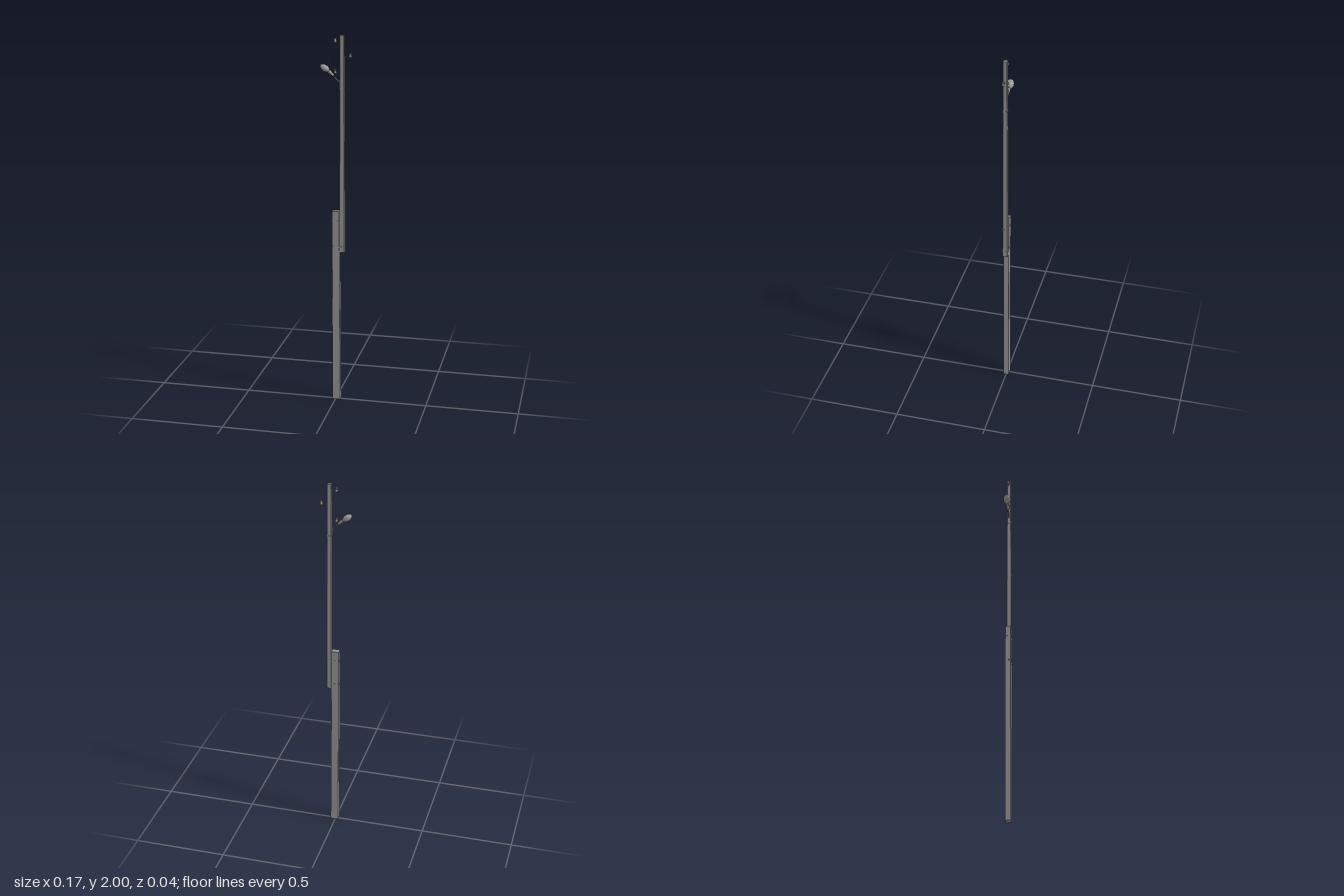
import * as THREE from 'three';

const mat = new THREE.MeshStandardMaterial({ color: 0x929292, flatShading: true, side: THREE.DoubleSide });
const smooth = new THREE.MeshStandardMaterial({ color: 0x929292 });
const V = (x, y, z = 0) => new THREE.Vector3(x, y, z);

function add(parent, name, geo, material = mat) {
  const mesh = new THREE.Mesh(geo, material);
  mesh.name = name;
  parent.add(mesh);
  return mesh;
}

// Rectangle with cut corners, of half sizes a and b
function cutRect(a, b, c) {
  return new THREE.Shape([[a - c, -b], [a, c - b], [a, b - c], [a - c, b], [c - a, b], [-a, b - c], [-a, c - b], [c - a, -b]]
    .map(([x, y]) => new THREE.Vector2(x, y)));
}

// Upright beam whose section changes linearly from bottom to top: [y, left, right, half depth]
function beam([y0, l0, r0, d0], [y1, l1, r1, d1], cut) {
  const geo = new THREE.ExtrudeGeometry(cutRect(1, 1, cut), { depth: 1, bevelEnabled: false });
  geo.rotateX(-Math.PI / 2);
  const p = geo.attributes.position, mix = THREE.MathUtils.lerp;
  for (let i = 0; i < p.count; i++) {
    const t = p.getY(i), l = mix(l0, l1, t), r = mix(r0, r1, t);
    p.setXYZ(i, (l + r) / 2 + p.getX(i) * (r - l) / 2, mix(y0, y1, t), p.getZ(i) * mix(d0, d1, t));
  }
  geo.computeVertexNormals();
  return geo;
}

// Hollow rectangular strap
function strap(left, right, halfDepth, height) {
  const a = (right - left) / 2;
  const shape = cutRect(a, halfDepth, 0.002);
  shape.holes.push(cutRect(a - 0.002, halfDepth - 0.002, 0.001));
  const geo = new THREE.ExtrudeGeometry(shape, { depth: height, bevelEnabled: false });
  return geo.rotateX(-Math.PI / 2).translate((left + right) / 2, -height / 2, 0);
}

function tube(points, radius, segments = 20) {
  return new THREE.TubeGeometry(new THREE.CatmullRomCurve3(points), segments, radius, 6);
}

// Bent hook carrying a bell-shaped insulator
function insulator(name, poleX, x, y) {
  const g = new THREE.Group();
  g.name = name;
  const s = Math.sign(x - poleX);
  add(g, 'hook', tube([V(poleX, y - 0.008), V(x - s * 0.014, y - 0.009), V(x - s * 0.008, y - 0.014), V(x - s * 0.002, y - 0.014), V(x, y - 0.006), V(x, y + 0.004)], 0.0014), smooth);
  const profile = [[0, -0.01], [0.0075, -0.011], [0.008, -0.004], [0.0065, 0], [0.0058, 0.003], [0.007, 0.005], [0.006, 0.01], [0, 0.012]];
  const bell = add(g, 'bell', new THREE.LatheGeometry(profile.map(([r, h]) => new THREE.Vector2(r, h)), 14));
  bell.position.set(x, y + 0.001, 0);
  return g;
}

export function createModel() {
  const model = new THREE.Group();
  model.name = 'utilityPole';

  // Slightly leaning footing post and the tapered pole lashed to it
  add(model, 'footingPost', beam([0, -0.017, 0.0265, 0.015], [1.07, -0.0195, 0.0205, 0.0155], 0.06));
  add(model, 'upperPole', beam([0.845, 0.02, 0.049, 0.014], [2, 0.021, 0.043, 0.0105], 0.16));

  // Lashing straps
  for (const y of [0.875, 1.015]) {
    add(model, 'lashingStrap', strap(-0.0205, 0.0495, 0.0165, 0.006)).position.y = y;
  }

  // Lamp: clamp, bracket, tapered socket and oval head
  const lamp = new THREE.Group();
  lamp.name = 'streetLamp';
  model.add(lamp);
  add(lamp, 'clamp', strap(0.019, 0.046, 0.0135, 0.005)).position.y = 1.725;
  add(lamp, 'bracketPlate', new THREE.BoxGeometry(0.004, 0.05, 0.008)).position.set(0.019, 1.745, 0);
  add(lamp, 'arm', tube([V(0.02, 1.755), V(0, 1.775), V(-0.025, 1.8)], 0.0036), smooth);
  const socket = add(lamp, 'socket', new THREE.CylinderGeometry(0.0095, 0.0065, 0.034, 12));
  socket.position.set(-0.026, 1.802, 0);
  socket.rotation.z = 0.85;
  const head = add(lamp, 'head', new THREE.SphereGeometry(1, 24, 16), smooth);
  head.scale.set(0.028, 0.017, 0.021);
  head.position.set(-0.059, 1.828, 0);
  head.rotation.z = -0.6;

  // Line insulators
  model.add(insulator('upperInsulator', 0.022, -0.004, 1.972));
  model.add(insulator('lowerInsulator', 0.022, -0.004, 1.812));
  model.add(insulator('outerInsulator', 0.04, 0.075, 1.897));

  // Wire looping from the upper insulator to the lower one, and the feed to the lamp
  add(model, 'loopWire', tube([V(-0.005, 1.977), V(-0.022, 1.981), V(-0.034, 1.972), V(-0.037, 1.91), V(-0.038, 1.855), V(-0.028, 1.838), V(-0.004, 1.817)], 0.0007, 40), smooth);
  add(model, 'feedWire', tube([V(-0.004, 1.813), V(-0.012, 1.797), V(-0.023, 1.803)], 0.0007), smooth);

  return model;
}
